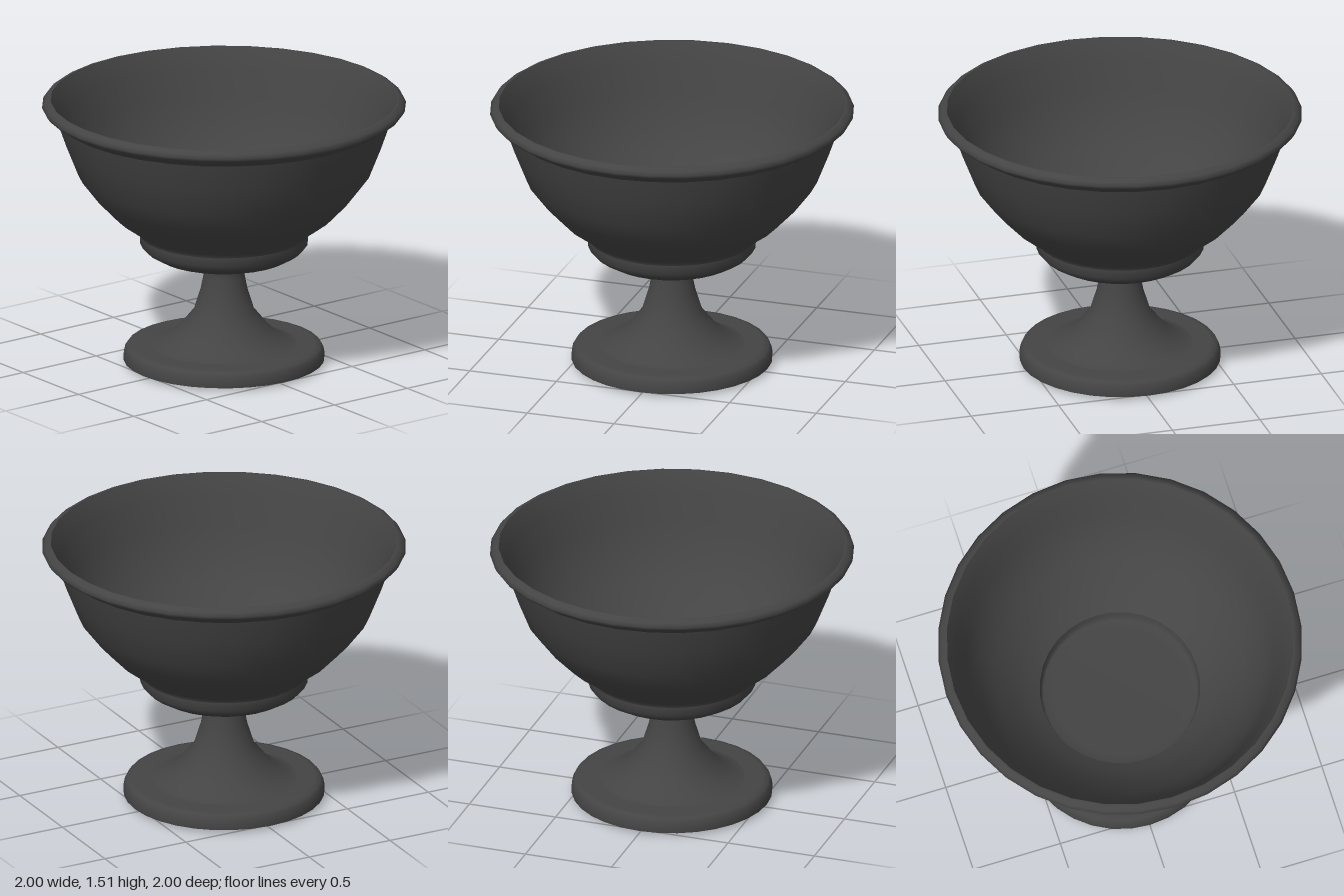
import * as THREE from 'three';

const SIDES = 32;

export function createModel() {
  const group = new THREE.Group();
  group.name = 'footedBowl';
  const material = new THREE.MeshStandardMaterial({ color: 0x444444, side: THREE.DoubleSide });

  // Each part is a smooth turned surface; part borders stay sharp.
  function turn(name, profile) {
    const points = profile.map(([r, y]) => new THREE.Vector2(r, y));
    const mesh = new THREE.Mesh(new THREE.LatheGeometry(points, SIDES), material);
    mesh.name = name;
    group.add(mesh);
  }

  // Foot: nearly flat underside and rounded edge
  turn('footUnderside', [[0, 0], [0.45, 0.005], [0.55, 0.017]]);
  turn('footEdge', [[0.55, 0.017], [0.552, 0.04], [0.545, 0.075], [0.53, 0.097], [0.5, 0.105], [0.38, 0.105]]);

  // Flared stem
  turn('stem', [
    [0.4, 0.105], [0.36, 0.115], [0.305, 0.15], [0.25, 0.195], [0.165, 0.3],
    [0.128, 0.42], [0.112, 0.5], [0.107, 0.54], [0.115, 0.552],
  ]);

  // Shallow cup between stem and bowl
  turn('collar', [
    [0.115, 0.552], [0.155, 0.565], [0.3, 0.592], [0.37, 0.615], [0.43, 0.65],
    [0.46, 0.685], [0.462, 0.735],
  ]);

  // Outer bowl wall
  turn('bowlOutside', [
    [0.462, 0.735], [0.472, 0.757], [0.525, 0.795], [0.595, 0.845], [0.705, 0.96],
    [0.8, 1.085], [0.865, 1.25], [0.9, 1.35], [0.917, 1.405],
  ]);

  // Rolled rim
  turn('rim', [
    [0.917, 1.405], [0.932, 1.42], [0.985, 1.452], [0.998, 1.472], [0.985, 1.492],
    [0.962, 1.508], [0.95, 1.508],
  ]);

  // Inner bowl wall
  turn('bowlInside', [
    [0.95, 1.508], [0.935, 1.48], [0.895, 1.4], [0.845, 1.25], [0.78, 1.09],
    [0.685, 0.97], [0.575, 0.86], [0.5, 0.805], [0.44, 0.77],
  ]);

  // Recessed floor
  turn('floor', [[0.44, 0.77], [0.435, 0.715], [0.42, 0.7], [0.36, 0.695], [0, 0.695]]);

  return group;
}
